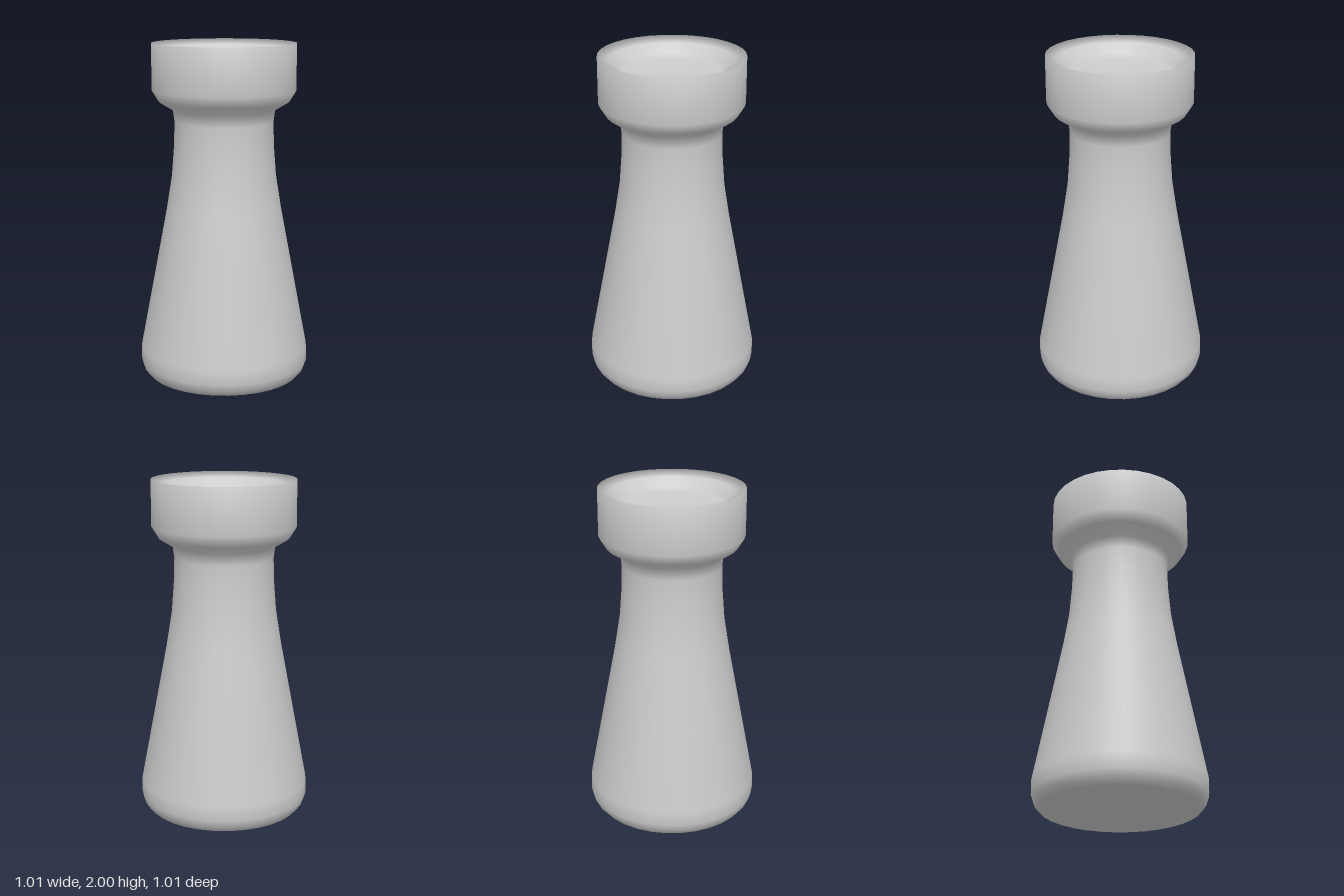
import * as THREE from 'three';

const SEGMENTS = 32;

// Half-profile [radius, height], from the underside centre up to the cup floor
const base = [[0, 0], [0.46, 0], [0.49, 0.035], [0.505, 0.08], [0.505, 0.17]];
const neck = [[0.343, 1.02], [0.311, 1.22], [0.297, 1.4], [0.293, 1.54], [0.302, 1.61]];
const cup = [[0.385, 1.66], [0.425, 1.725], [0.425, 2]];
const dish = [[0.36, 1.97], [0.32, 1.915], [0.28, 1.895], [0, 1.89]];

export function createModel() {
  const group = new THREE.Group();
  group.name = 'pedestalCup';

  // One smooth turned body: rounded foot, tapering stem, cup and hollow top
  const profile = [...base, ...neck, ...cup, ...dish].map(([r, y]) => new THREE.Vector2(r, y));
  const body = new THREE.Mesh(
    new THREE.LatheGeometry(profile, SEGMENTS),
    new THREE.MeshStandardMaterial({ color: 0xcccccc })
  );
  body.name = 'turnedBody';
  group.add(body);

  return group;
}
